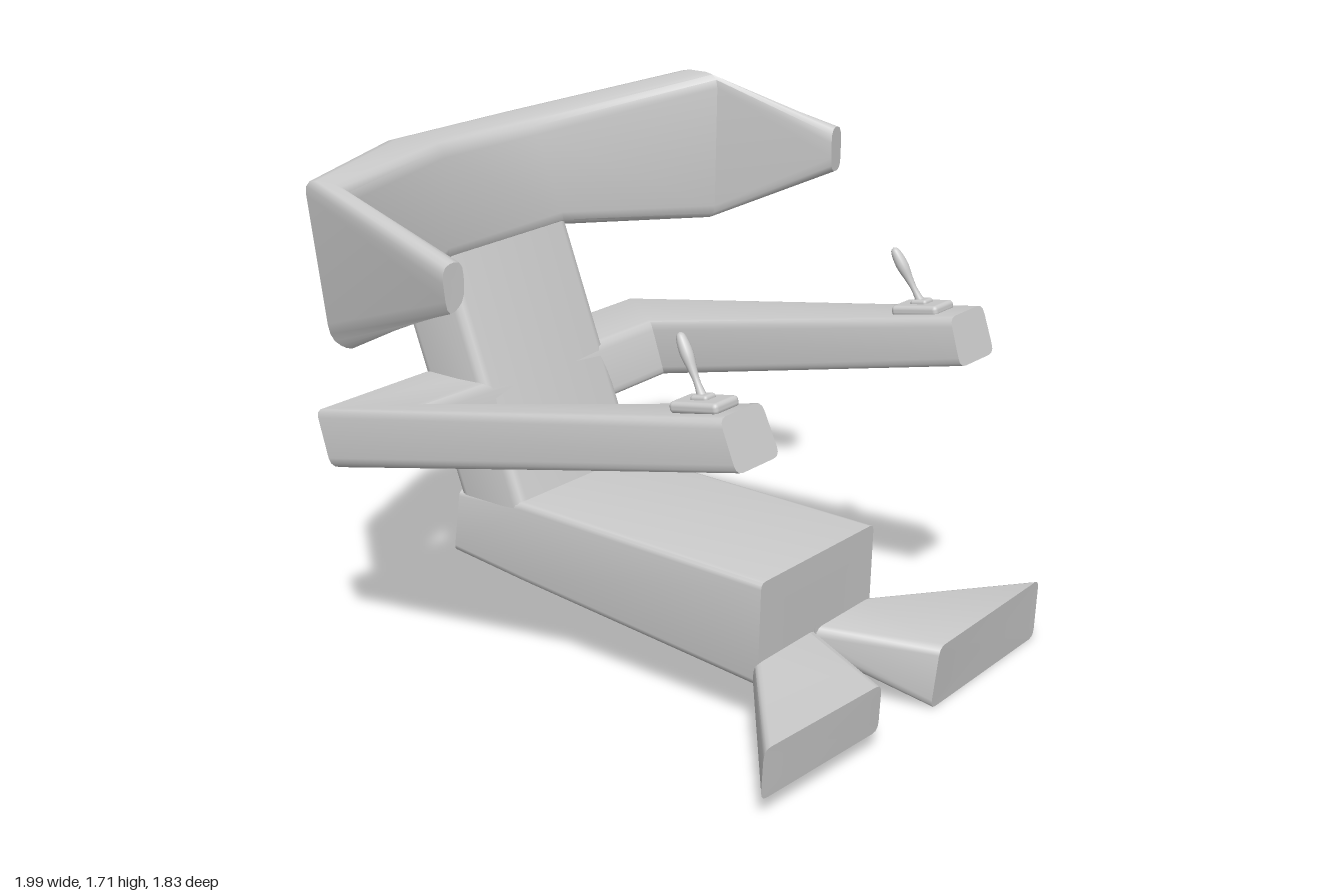
import * as THREE from 'three';
import { toCreasedNormals } from 'three/addons/utils/BufferGeometryUtils.js';
import { RoundedBoxGeometry } from 'three/addons/geometries/RoundedBoxGeometry.js';

const material = new THREE.MeshStandardMaterial({ color: 0xcccccc });

function addMesh(parent, name, geometry) {
  const mesh = new THREE.Mesh(geometry, material);
  mesh.name = name;
  parent.add(mesh);
  return mesh;
}

// Rounds the corners of a closed loop of points
function roundLoop(corners, radius, steps = 3) {
  const pts = corners.map((c) => new THREE.Vector3(...c));
  const n = pts.length;
  const ring = [];
  pts.forEach((p, i) => {
    const toward = (q) => {
      const d = q.clone().sub(p);
      const len = d.length();
      return p.clone().addScaledVector(d, Math.min(radius, len * 0.4) / len);
    };
    const curve = new THREE.QuadraticBezierCurve3(toward(pts[(i + n - 1) % n]), p, toward(pts[(i + 1) % n]));
    ring.push(...curve.getPoints(steps));
  });
  return ring;
}

// Skins a row of rounded cross-sections and closes both ends
function loft(sections, radius) {
  const rings = sections.map((s) => roundLoop(s, radius));
  const n = rings[0].length;
  const tris = [];
  for (let r = 0; r < rings.length - 1; r++) {
    for (let i = 0; i < n; i++) {
      const j = (i + 1) % n;
      const [a, b, c, d] = [rings[r][i], rings[r][j], rings[r + 1][j], rings[r + 1][i]];
      tris.push([a, b, c], [a, c, d]);
    }
  }
  [rings[0], rings[rings.length - 1]].forEach((ring, end) => {
    const mid = ring.reduce((s, p) => s.add(p), new THREE.Vector3()).divideScalar(n);
    ring.forEach((p, i) => {
      const q = ring[(i + 1) % n];
      tris.push(end ? [mid, p, q] : [mid, q, p]);
    });
  });
  // A negative volume means the skin is inside out
  const volume = tris.reduce((v, [a, b, c]) => v + a.dot(b.clone().cross(c)), 0);
  const points = tris.flatMap((t) => (volume < 0 ? [t[0], t[2], t[1]] : t));
  const geometry = new THREE.BufferGeometry().setFromPoints(points);
  return toCreasedNormals(geometry, 0.8);
}

// Seat cross-section with a V groove along the underside
function seatSection(x0, x1, zTop, yTop, zBot, yBot) {
  const mid = (x0 + x1) / 2;
  return [
    [x0, yTop, zTop], [x1, yTop, zTop], [x1, yBot, zBot],
    [mid + 0.03, yBot, zBot], [mid, yBot + 0.08, zBot], [mid - 0.03, yBot, zBot],
    [x0, yBot, zBot],
  ];
}

// Backrest cross-section at one height
function backSection(y, zFront, zBack) {
  return [[-0.29, y, zBack], [0.3, y, zBack], [0.3, y, zFront], [-0.29, y, zFront]];
}

function createJoystick(name, x, z, side) {
  const stick = new THREE.Group();
  stick.name = name;
  addMesh(stick, 'joystickBase', new RoundedBoxGeometry(0.11, 0.035, 0.17, 2, 0.014));
  const collar = addMesh(stick, 'joystickCollar', new RoundedBoxGeometry(0.05, 0.03, 0.06, 2, 0.01));
  collar.position.y = 0.015;
  const profile = [[0.016, 0], [0.01, 0.05], [0.013, 0.09], [0.019, 0.13], [0.018, 0.165], [0.012, 0.192], [0, 0.2]];
  const curve = new THREE.SplineCurve(profile.map((p) => new THREE.Vector2(...p)));
  const points = curve.getPoints(20).map((p) => new THREE.Vector2(Math.max(p.x, 0), p.y));
  const handle = addMesh(stick, 'joystickHandle', new THREE.LatheGeometry(points, 16));
  handle.position.y = 0.012;
  handle.rotation.set(-0.36, 0, side * 0.1);
  stick.position.set(x, 1.13 - 0.2 * (0.68 - z) + 0.012, z);
  stick.rotation.x = -0.2 + 0.03;
  return stick;
}

export function createModel() {
  const model = new THREE.Group();
  model.name = 'cockpitChair';

  // Seat cushion
  addMesh(model, 'seat', loft([
    seatSection(-0.29, 0.3, -0.63, 0.5, -0.66, 0.28),
    seatSection(-0.29, 0.3, -0.37, 0.517, -0.37, 0.247),
    seatSection(-0.28, 0.315, 0.57, 0.49, 0.56, 0.15),
  ], 0.022));

  // Splayed foot supports
  addMesh(model, 'leftFootrest', loft([
    [[0.31, 0.24, 0.55], [0.02, 0.235, 0.56], [0.025, 0.15, 0.55], [0.31, 0.15, 0.54]],
    [[0.83, 0.21, 0.88], [0.18, 0.215, 0.91], [0.17, 0.005, 0.89], [0.83, 0.005, 0.87]],
  ], 0.03));
  addMesh(model, 'rightFootrest', loft([
    [[-0.28, 0.23, 0.55], [0.02, 0.235, 0.56], [0.025, 0.15, 0.55], [-0.28, 0.15, 0.54]],
    [[-0.7, 0.22, 0.89], [-0.15, 0.22, 0.915], [-0.14, 0.06, 0.9], [-0.7, 0.06, 0.88]],
  ], 0.03));

  // Reclined backrest
  addMesh(model, 'backrest', loft([
    backSection(0.49, -0.36, -0.63),
    backSection(0.7, -0.44, -0.71),
    backSection(0.88, -0.51, -0.775),
    backSection(1.26, -0.655, -0.92),
    backSection(1.4, -0.71, -0.9),
  ], 0.035));

  // Crossbar and both armrests in one sweep with mitred elbows
  addMesh(model, 'armrests', loft([
    [[-0.65, 1.13, 0.69], [-0.46, 1.13, 0.69], [-0.45, 0.98, 0.75], [-0.65, 0.98, 0.75]],
    [[-0.77, 0.88, -0.765], [-0.55, 0.89, -0.51], [-0.55, 0.71, -0.45], [-0.77, 0.7, -0.71]],
    [[0, 0.88, -0.775], [0, 0.88, -0.51], [0, 0.7, -0.445], [0, 0.7, -0.71]],
    [[0.77, 0.88, -0.785], [0.55, 0.89, -0.51], [0.55, 0.71, -0.45], [0.77, 0.7, -0.71]],
    [[0.73, 1.13, 0.68], [0.54, 1.13, 0.68], [0.53, 0.98, 0.73], [0.73, 0.98, 0.73]],
  ], 0.03));

  // Wraparound headrest with forward swept wings
  addMesh(model, 'headrest', loft([
    [[-1.0, 1.51, 0.01], [-0.925, 1.52, 0.02], [-0.92, 1.4, 0.02], [-0.98, 1.36, 0.01]],
    [[-0.83, 1.62, -0.7], [-0.82, 1.62, -0.53], [-0.82, 1.12, -0.52], [-0.83, 1.14, -0.62]],
    [[-0.3, 1.62, -0.91], [-0.22, 1.62, -0.72], [-0.28, 1.25, -0.65], [-0.3, 1.25, -0.92]],
    [[0.28, 1.62, -0.92], [0.2, 1.62, -0.72], [0.28, 1.26, -0.65], [0.29, 1.25, -0.92]],
    [[0.84, 1.71, -0.62], [0.84, 1.71, -0.45], [0.84, 1.2, -0.46], [0.85, 1.2, -0.6]],
    [[1.0, 1.56, -0.05], [0.93, 1.56, -0.04], [0.93, 1.41, -0.04], [1.0, 1.41, -0.05]],
  ], 0.05));

  // Control sticks on the armrest ends
  model.add(createJoystick('leftJoystick', 0.635, 0.52, 1));
  model.add(createJoystick('rightJoystick', -0.555, 0.565, -1));

  return model;
}
